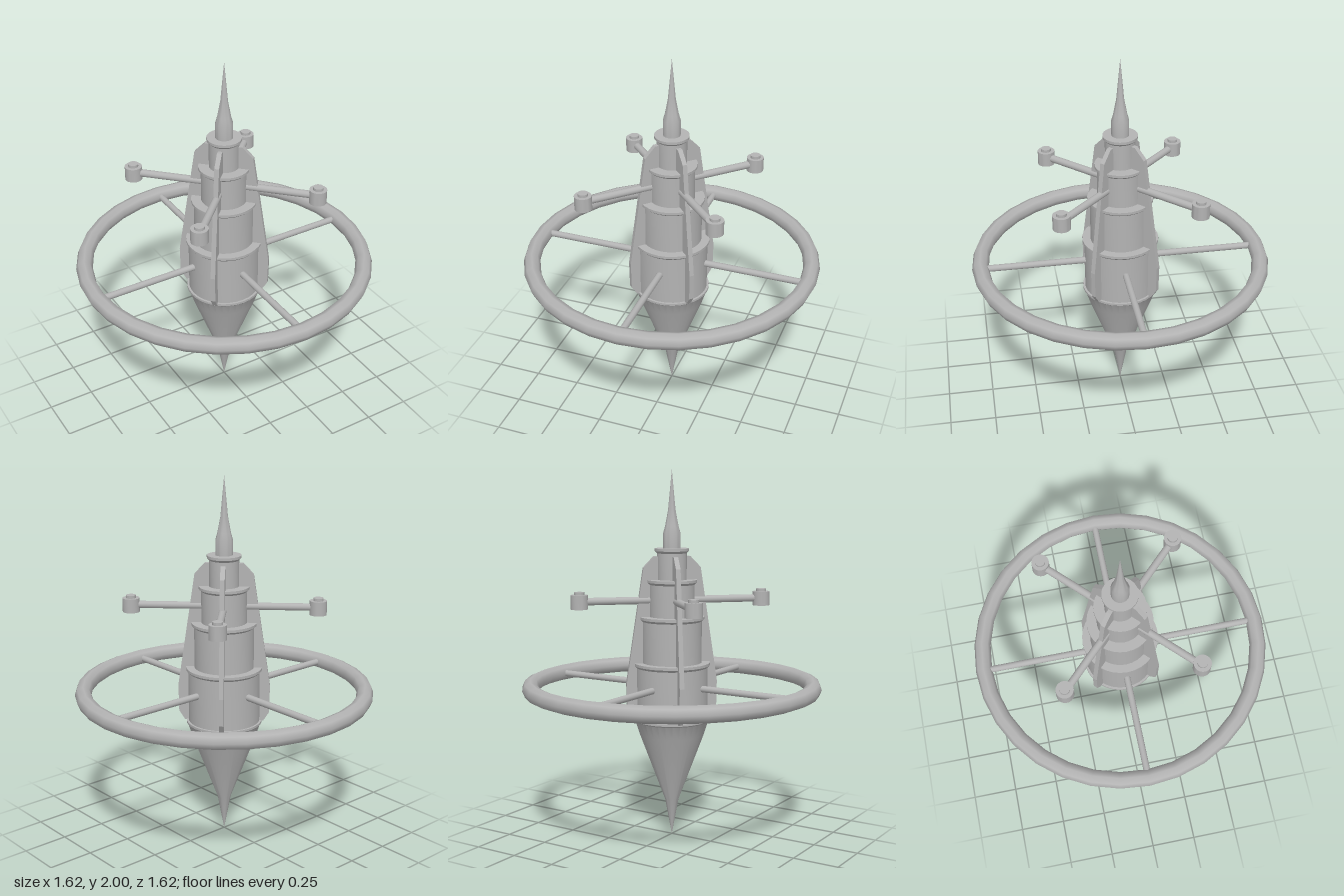
import * as THREE from 'three';
import { toCreasedNormals } from 'three/addons/utils/BufferGeometryUtils.js';

export function createModel() {
  const model = new THREE.Group();
  model.name = 'spaceStation';
  const hull = new THREE.MeshStandardMaterial({ color: 0xb3b3b3 });
  hull.name = 'hullGrey';

  const add = (parent, name, geometry) => {
    const mesh = new THREE.Mesh(geometry, hull);
    mesh.name = name;
    parent.add(mesh);
    return mesh;
  };
  // Surface of revolution from [radius, height] pairs, bottom to top
  const lathe = (points, crease = 0.5) => toCreasedNormals(
    new THREE.LatheGeometry(points.map(([r, y]) => new THREE.Vector2(r, y)), 32), crease);

  // Tapered lower hull with a rim under the tiers
  add(model, 'lowerCone', lathe([
    [0, 0], [0.037, 0.2], [0.176, 0.57], [0.2, 0.645], [0.207, 0.652], [0.207, 0.664], [0, 0.664],
  ]));

  // Stepped tower: each tier is a drum with a flared lip
  const tiers = [
    [0.195, 0.207, 0.65, 0.967],
    [0.162, 0.176, 0.95, 1.217],
    [0.123, 0.136, 1.2, 1.415],
    [0.08, 0.092, 1.4, 1.582],
  ];
  tiers.forEach(([r, lip, bottom, top], i) => add(model, `tier${i + 1}`, lathe([
    [r, bottom], [r, top - 0.026], [lip, top - 0.014], [lip, top], [0, top],
  ])));

  // Needle spire
  add(model, 'spire', lathe([
    [0.046, 1.575], [0.046, 1.665], [0.036, 1.7], [0.02, 1.785], [0, 2],
  ], 0.6));

  // Habitat ring and its four spokes
  const ringY = 0.837;
  const ring = add(model, 'habitatRing', new THREE.TorusGeometry(0.765, 0.045, 8, 32));
  ring.rotation.x = Math.PI / 2;
  ring.position.y = ringY;
  for (let i = 0; i < 4; i++) {
    const spokeGroup = new THREE.Group();
    spokeGroup.name = `spoke${i + 1}`;
    spokeGroup.rotation.y = i * Math.PI / 2;
    model.add(spokeGroup);
    const spoke = add(spokeGroup, 'spokeTube', new THREE.CylinderGeometry(0.018, 0.018, 0.6, 12));
    spoke.rotation.z = Math.PI / 2;
    spoke.position.set(0.45, ringY, 0);
  }

  // Diagonal fins, each carrying an arm with a docking pod
  const finShape = new THREE.Shape([
    [0.05, 0.66], [0.215, 0.66], [0.247, 0.71], [0.25, 0.86],
    [0.157, 1.48], [0.1, 1.54], [0.05, 1.54],
  ].map(([x, y]) => new THREE.Vector2(x, y)));
  const finGeometry = new THREE.ExtrudeGeometry(finShape, { depth: 0.025, bevelEnabled: false });
  finGeometry.translate(0, 0, -0.0125);
  const podRadius = 0.5;
  for (let i = 0; i < 4; i++) {
    const finGroup = new THREE.Group();
    finGroup.name = `finAssembly${i + 1}`;
    finGroup.rotation.y = Math.PI / 4 + i * Math.PI / 2;
    model.add(finGroup);
    add(finGroup, 'fin', finGeometry);

    const arm = add(finGroup, 'dockingArm', new THREE.CylinderGeometry(0.02, 0.02, 0.37, 12));
    arm.rotation.z = Math.PI / 2;
    arm.position.set(0.305, 1.306, 0);

    const pod = add(finGroup, 'dockingPod', lathe([
      [0, 1.266], [0.046, 1.266], [0.046, 1.342], [0.027, 1.342], [0.027, 1.357], [0, 1.357],
    ]));
    pod.position.x = podRadius;
  }

  return model;
}
